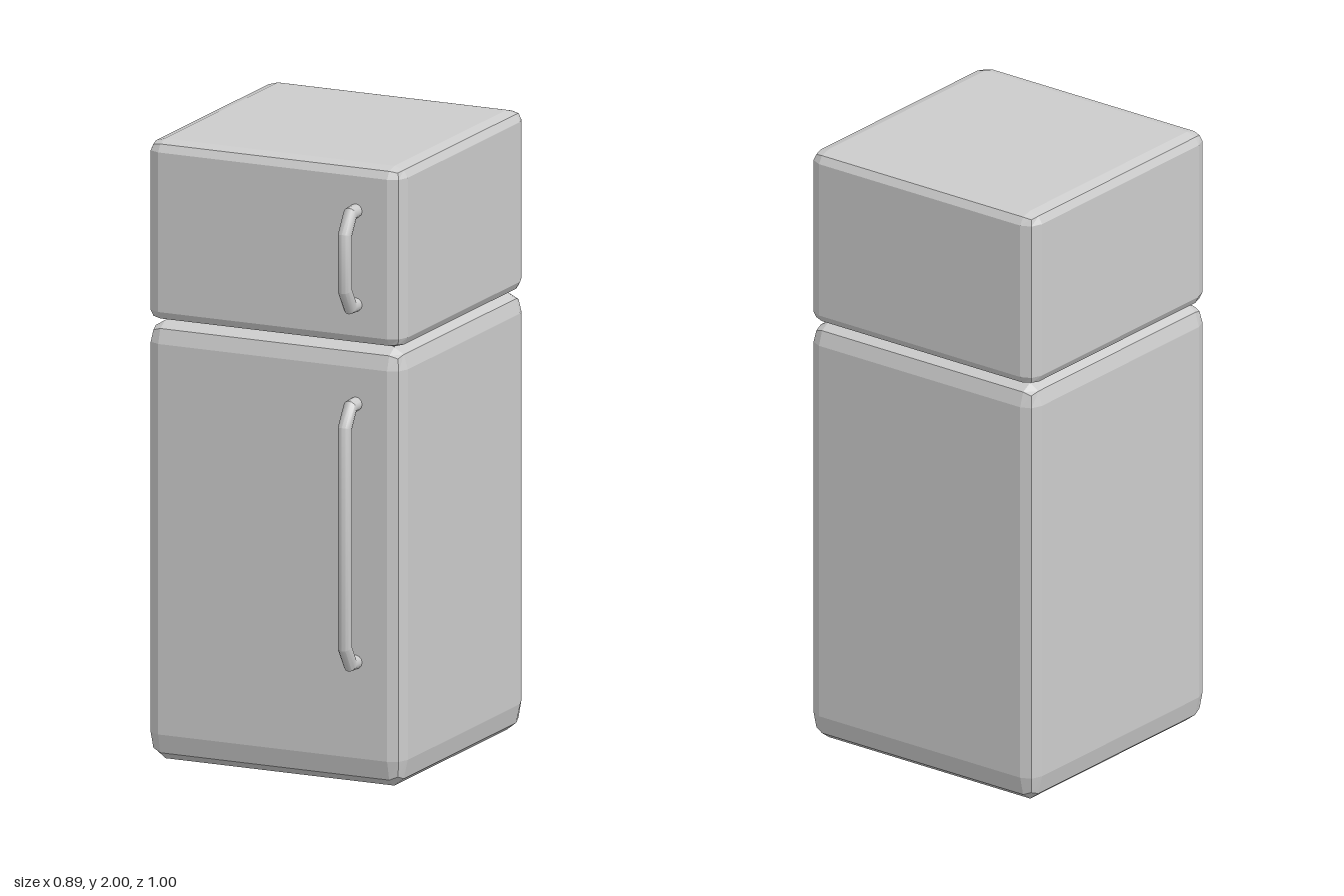
import * as THREE from 'three';
import { toCreasedNormals } from 'three/addons/utils/BufferGeometryUtils.js';

const WIDTH = 0.892, FRONT = 0.4, BACK = -0.5;
const DEPTH = FRONT - BACK, MID_Z = (FRONT + BACK) / 2;

// Box with two-step bevels; bevel sizes differ per axis and at top and bottom
function bevelBox(bottom, top, bevelBottom, bevelTop) {
  const bx = 0.047, bz = 0.051;
  const geo = new THREE.BoxGeometry(1, 1, 1, 3, 3, 3);
  const pos = geo.attributes.position;
  const v = new THREE.Vector3(), dir = new THREE.Vector3();
  const outer = (c) => (Math.abs(c) > 0.4 ? Math.sign(c) : 0);
  for (let i = 0; i < pos.count; i++) {
    v.fromBufferAttribute(pos, i);
    dir.set(outer(v.x), outer(v.y), outer(v.z)).normalize();
    const up = v.y > 0, by = up ? bevelTop : bevelBottom;
    pos.setXYZ(
      i,
      Math.sign(v.x) * (WIDTH / 2 - bx) + dir.x * bx,
      (up ? top - by : bottom + by) + dir.y * by,
      MID_Z + Math.sign(v.z) * (DEPTH / 2 - bz) + dir.z * bz
    );
  }
  return toCreasedNormals(geo, 0.1);
}

// Bent tube with mitred elbows, swept in the yz plane
function handleGeometry(midY, half) {
  const radius = 0.022, x = 0.29;
  const path = [
    [0.385, half], [0.439, half - 0.002], [0.478, half - 0.063],
    [0.478, 0.063 - half], [0.439, 0.002 - half], [0.385, -half],
  ].map(([z, y]) => new THREE.Vector2(z, y + midY));

  const rows = path.length - 1;
  const geo = new THREE.CylinderGeometry(radius, radius, 1, 12, rows, true);
  const pos = geo.attributes.position;
  for (let i = 0; i < pos.count; i++) {
    const k = Math.round((0.5 - pos.getY(i)) * rows);
    const into = path[Math.max(k, 1)].clone().sub(path[Math.max(k, 1) - 1]).normalize();
    const out = path[Math.min(k + 1, rows)].clone().sub(path[Math.min(k, rows - 1)]).normalize();
    const tangent = into.clone().add(out).normalize();
    const offset = pos.getZ(i) / tangent.dot(into);
    pos.setXYZ(i, x + pos.getX(i), path[k].y + tangent.x * offset, path[k].x - tangent.y * offset);
  }
  return toCreasedNormals(geo, 0.55);
}

export function createModel() {
  const group = new THREE.Group();
  group.name = 'refrigerator';
  const material = new THREE.MeshStandardMaterial({ color: 0xcccccc });
  const tubeMaterial = new THREE.MeshStandardMaterial({ color: 0xcccccc, side: THREE.DoubleSide });
  const add = (name, geo, mat) => {
    const mesh = new THREE.Mesh(geo, mat);
    mesh.name = name;
    group.add(mesh);
  };

  // Cabinets
  add('fridgeCabinet', bevelBox(0, 1.414, 0.088, 0.066), material);
  add('freezerCabinet', bevelBox(1.417, 2, 0.034, 0.034), material);

  // Door handles
  add('fridgeHandle', handleGeometry(0.815, 0.417), tubeMaterial);
  add('freezerHandle', handleGeometry(1.703, 0.152), tubeMaterial);
  return group;
}
